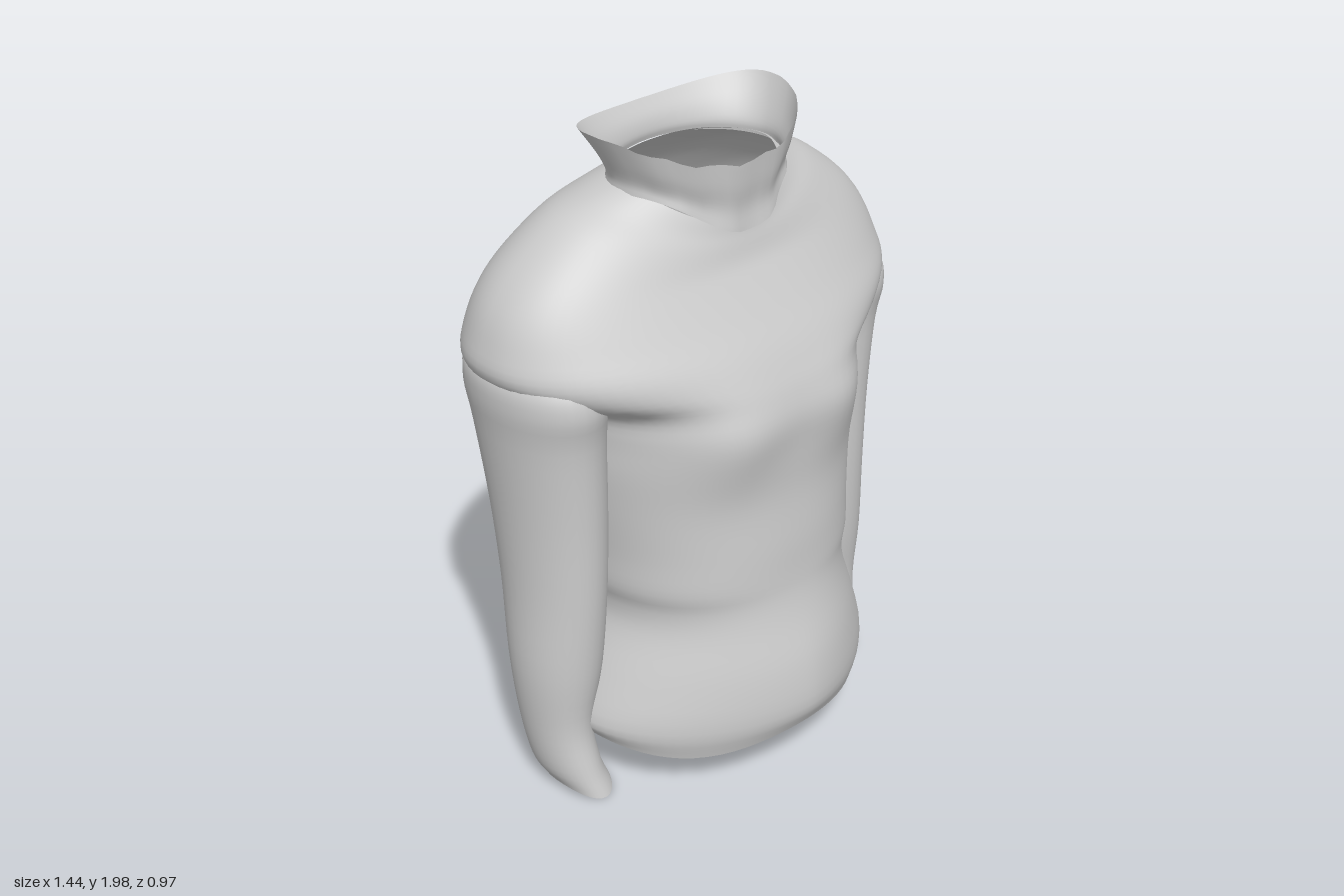
import * as THREE from 'three';

const knit = new THREE.MeshStandardMaterial({ color: 0xcccccc, side: THREE.DoubleSide });
knit.name = 'light grey knit';

// Open loft through rounded rings, listed bottom to top.
// Ring: [centre x, half width, front z, back z, widest z, front y, side y, back y, front power, back power]
// A power of 1 is an ellipse, less is squarer, more is narrower.
function loft(name, rings, { segments = 48, steps = 4, shape } = {}) {
  const size = rings[0].length;
  const spline = new THREE.CubicInterpolant(rings.map((_, i) => i), rings.flat(), size, new Array(size));
  const rows = (rings.length - 1) * steps;
  const positions = [], index = [];
  const p = new THREE.Vector3();
  for (let r = 0; r <= rows; r++) {
    const [cx, w, zf, zb, zc, yf, ys, yb, ef, eb] = spline.evaluate(r / steps);
    for (let s = 0; s < segments; s++) {
      const a = (s / segments) * Math.PI * 2;
      const c = Math.cos(a), n = Math.sin(a);
      const e = n > 0 ? ef : eb;
      const depth = n > 0 ? zf - zc : zc - zb;
      p.set(
        cx + w * Math.sign(c) * Math.abs(c) ** e,
        ys + ((n > 0 ? yf : yb) - ys) * n * n,
        zc + depth * Math.sign(n) * Math.abs(n) ** e
      );
      if (shape) shape(p, a, r / rows);
      positions.push(p.x, p.y, p.z);
      if (r < rows) {
        const i = r * segments + s, j = r * segments + (s + 1) % segments;
        index.push(i, i + segments, j, j, i + segments, j + segments);
      }
    }
  }
  const geometry = new THREE.BufferGeometry();
  geometry.setAttribute('position', new THREE.Float32BufferAttribute(positions, 3));
  geometry.setIndex(index);
  geometry.computeVertexNormals();
  const mesh = new THREE.Mesh(geometry, knit);
  mesh.name = name;
  return mesh;
}

const bell = (v, centre, width) => Math.exp(-(((v - centre) / width) ** 2));

// Level ring
const flat = (w, zf, zb, zc, y, ef = 0.9, eb = 0.88) => [0, w, zf, zb, zc, y, y, y, ef, eb];

function makeBody() {
  const rings = [
    [0, 0.515, 0.455, -0.4, 0.06, 0.185, 0.2, 0.18, 1.15, 0.95],
    flat(0.54, 0.485, -0.4, 0.06, 0.26, 1.2, 0.95),
    flat(0.49, 0.47, -0.38, 0.04, 0.4, 1.12, 0.92),
    flat(0.43, 0.43, -0.365, 0.02, 0.54, 1),
    flat(0.425, 0.412, -0.38, 0, 0.62, 0.95),
    flat(0.445, 0.405, -0.435, -0.02, 0.69),
    flat(0.455, 0.4, -0.445, -0.04, 0.8),
    flat(0.475, 0.388, -0.46, -0.05, 0.95),
    flat(0.49, 0.39, -0.48, -0.06, 1.08),
    flat(0.495, 0.395, -0.492, -0.07, 1.19),
    flat(0.52, 0.378, -0.495, -0.08, 1.27),
    flat(0.655, 0.352, -0.492, -0.08, 1.335, 0.92),
    flat(0.716, 0.32, -0.487, -0.08, 1.4, 0.92, 0.9),
    flat(0.703, 0.272, -0.472, -0.08, 1.48, 0.92, 0.9),
    [0, 0.662, 0.225, -0.44, -0.08, 1.56, 1.575, 1.56, 0.92, 0.9],
    [0, 0.585, 0.198, -0.4, -0.08, 1.61, 1.665, 1.63, 0.92, 0.9],
    [0, 0.46, 0.183, -0.345, -0.08, 1.66, 1.76, 1.72, 0.95, 0.95],
    [0, 0.36, 0.175, -0.275, -0.06, 1.69, 1.805, 1.79, 1, 1],
    [0, 0.27, 0.17, -0.2, -0.03, 1.72, 1.84, 1.85, 1, 1]
  ];
  return loft('sweaterBody', rings, {
    segments: 80,
    shape(p, a, t) {
      const x = Math.abs(p.x);
      if (Math.sin(a) > 0) {
        // Chest fullness and wavy front hem
        p.z += 0.03 * bell(x, 0.22, 0.13) * bell(p.y, 1.17, 0.14);
        p.y -= 0.04 * Math.sin(2 * a) ** 2 * Math.max(0, 1 - t * 14);
      } else {
        // Groove down the spine
        p.z += 0.026 * bell(x, 0, 0.1) * bell(p.y, 1.2, 0.5);
      }
    }
  });
}

// Sleeve ring from its inner and outer edges
const sleeveRing = (side, inner, outer, zf, zb, y, yFront = y) =>
  [side * (inner + outer) / 2, (outer - inner) / 2, zf, zb, (zf + zb) / 2, yFront, y, y, 1, 1];

// The top rings tuck inside the shoulder
function makeSleeve(side) {
  const rings = [
    [0.46, 0.615, 0.15, -0.12, 0.045, 0.015],
    [0.475, 0.645, 0.12, -0.13, 0.11],
    [0.475, 0.665, 0.095, -0.155, 0.25],
    [0.43, 0.68, 0.115, -0.19, 0.45],
    [0.41, 0.673, 0.13, -0.225, 0.7],
    [0.4, 0.68, 0.138, -0.26, 0.95],
    [0.4, 0.7, 0.15, -0.298, 1.2],
    [0.4, 0.714, 0.17, -0.32, 1.32],
    [0.41, 0.702, 0.145, -0.305, 1.4],
    [0.44, 0.63, 0.06, -0.22, 1.48]
  ].map(r => sleeveRing(side, ...r));
  return loft(side > 0 ? 'leftSleeve' : 'rightSleeve', rings, { segments: 32 });
}

function makeCollar() {
  const rings = [
    [0, 0.285, 0.195, -0.21, -0.03, 1.695, 1.825, 1.845, 1, 1],
    [0, 0.285, 0.187, -0.205, -0.03, 1.76, 1.86, 1.87, 1, 1],
    [0, 0.31, 0.195, -0.215, -0.04, 1.83, 1.92, 1.91, 0.97, 0.95],
    [0, 0.345, 0.2, -0.245, -0.07, 1.9, 1.99, 1.955, 0.95, 0.9]
  ];
  return loft('flaredCollar', rings, {
    shape(p, a, t) {
      // Pointed front seam and uneven gathers
      const front = Math.max(0, Math.sin(a));
      if (front > 0) p.y += 0.03 * Math.sin(2 * a) ** 2 * (1 - t) ** 2;
      p.y += 0.007 * front * Math.sin(a * 14) * t;
      p.z += 0.008 * front * Math.sin(a * 11) * (1 - t);
    }
  });
}

export function createModel() {
  const sweater = new THREE.Group();
  sweater.name = 'highNeckSweater';
  sweater.add(makeBody(), makeSleeve(1), makeSleeve(-1), makeCollar());
  return sweater;
}
